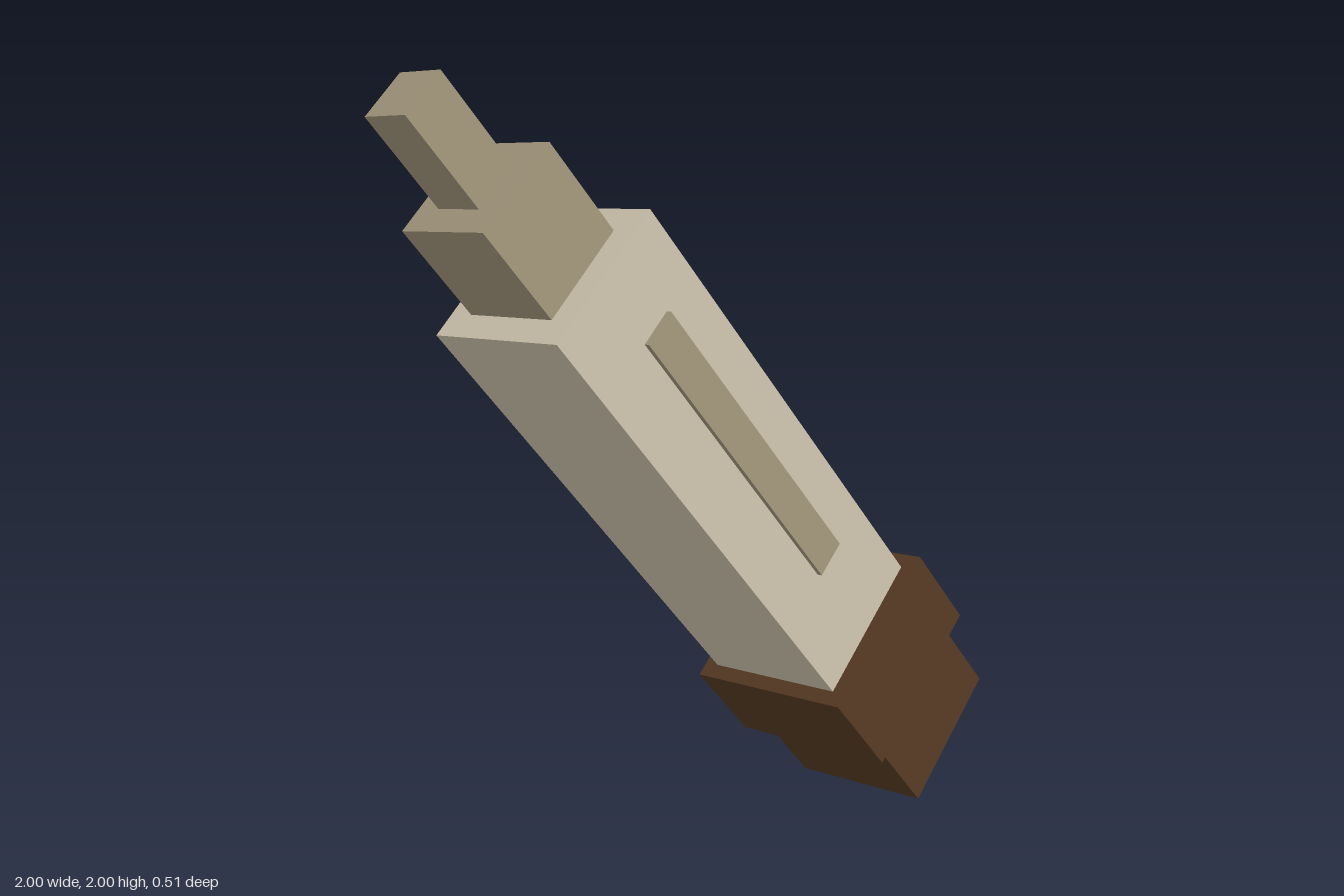
import * as THREE from 'three';

const material = (name, color) => {
  const m = new THREE.MeshStandardMaterial({ color });
  m.name = name;
  return m;
};

export function createModel() {
  const cream = material('cream', 0xd2c9b1);
  const khaki = material('khaki', 0xa79b7f);
  const brown = material('brown', 0x583c24);

  const model = new THREE.Group();
  model.name = 'steppedRod';

  // Everything is stacked along one axis, which leans 45 degrees
  const shaft = new THREE.Group();
  shaft.name = 'leaningShaft';
  shaft.position.set(0.5, 0.5, 0);
  shaft.rotation.z = Math.PI / 4;
  model.add(shaft);

  const addBox = (name, mat, y0, y1, width, depth, x = 0, z = 0) => {
    const mesh = new THREE.Mesh(new THREE.BoxGeometry(width, y1 - y0, depth), mat);
    mesh.name = name;
    mesh.position.set(x, (y0 + y1) / 2, z);
    shaft.add(mesh);
  };

  // Square sections from the foot to the tip: name, material, start, end, width
  const sections = [
    ['foot', brown, -0.495, -0.212, 0.424],
    ['collar', brown, -0.212, 0.071, 0.509],
    ['body', cream, 0.071, 1.485, 0.424],
    ['neck', khaki, 1.485, 1.768, 0.283],
    ['tip', khaki, 1.768, 2.051, 0.141],
  ];
  for (const [name, mat, y0, y1, w] of sections) addBox(name, mat, y0, y1, w, w);

  // Raised strip on the front, slightly off centre
  addBox('frontStrip', khaki, 0.357, 1.276, 0.106, 0.028, 0.028, 0.212);

  return model;
}
